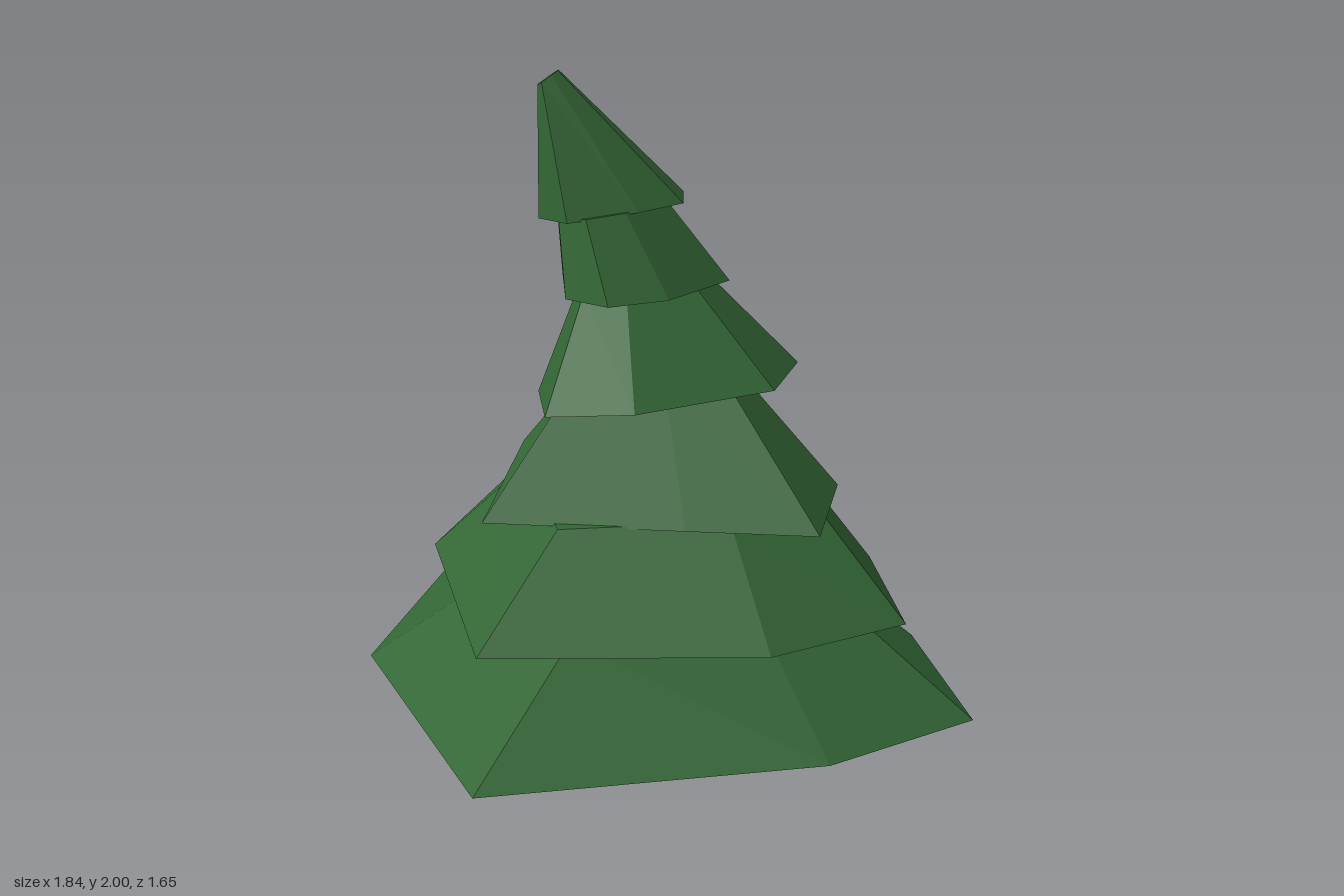
import * as THREE from 'three';

const leafMaterial = new THREE.MeshStandardMaterial({ color: 0x336635, flatShading: true });
const barkMaterial = new THREE.MeshStandardMaterial({ color: 0x68442e, flatShading: true });

// Closed, faceted solid through a stack of rings with equal corner counts
function loft(name, rings, material) {
  const pos = [];
  const tri = (...pts) => pts.forEach((p) => pos.push(p.x, p.y, p.z));
  const middle = (ring) =>
    ring.reduce((sum, p) => sum.add(p), new THREE.Vector3()).divideScalar(ring.length);
  const bottom = rings[0];
  const top = rings[rings.length - 1];
  const n = bottom.length;
  for (let i = 0; i < n; i++) {
    const j = (i + 1) % n;
    for (let r = 0; r + 1 < rings.length; r++) {
      const [lo, hi] = [rings[r], rings[r + 1]];
      tri(lo[i], hi[i], hi[j]);
      tri(lo[i], hi[j], lo[j]);
    }
    tri(middle(bottom), bottom[i], bottom[j]);
    tri(middle(top), top[j], top[i]);
  }
  const geometry = new THREE.BufferGeometry();
  geometry.setAttribute('position', new THREE.Float32BufferAttribute(pos, 3));
  geometry.computeVertexNormals();
  const mesh = new THREE.Mesh(geometry, material);
  mesh.name = name;
  return mesh;
}

// Shrinks an outline about the centre of its bounds and moves it to a new centre
function shrink(corners, k, [cx, cz]) {
  const box = new THREE.Box2().setFromPoints(corners.map(([x, z]) => new THREE.Vector2(x, z)));
  const c = box.getCenter(new THREE.Vector2());
  return corners.map(([x, z]) => [cx + (x - c.x) * k, cz + (z - c.y) * k]);
}

// Lays an outline on a sloping plane: height, slope along x, slope along z
const onPlane = (corners, [h, sx, sz], lift = 0) =>
  corners.map(([x, z]) => new THREE.Vector3(x, h + sx * x + sz * z + lift, z));

// Branch tiers, lowest first: skirt outline [x, z], its plane, and the narrower top
const tiers = [
  { plane: [0.257, -0.016, 0], k: 0.56, top: [0.075, -0.055],
    rim: [[-0.92, -0.04], [-0.55, -0.7], [0.4, -0.83], [0.92, -0.57], [0.89, -0.06], [0.48, 0.82], [-0.43, 0.58]] },
  { plane: [0.543, -0.035, 0], k: 0.6, top: [0.03, -0.065],
    rim: [[-0.76, -0.13], [-0.42, -0.63], [0.36, -0.68], [0.77, -0.44], [0.72, 0.01], [0.28, 0.67], [-0.44, 0.34]] },
  { plane: [0.823, -0.04, -0.06], k: 0.51, top: [0.065, -0.08],
    rim: [[-0.52, -0.37], [-0.14, -0.64], [0.45, -0.46], [0.68, -0.19], [0.42, 0.07], [0.015, 0.47], [-0.4, 0.04]] },
  { plane: [1.105, 0.09, -0.02], k: 0.49, top: [-0.01, -0.07],
    rim: [[-0.34, -0.07], [-0.09, -0.37], [0.22, -0.5], [0.42, -0.24], [0.32, 0.17], [0.14, 0.34], [-0.12, 0.18]] },
  { plane: [1.393, 0.06, 0], k: 0.65, top: [-0.06, -0.02],
    rim: [[-0.25, 0], [-0.22, -0.18], [-0.06, -0.37], [0.17, -0.28], [0.25, 0], [0.2, 0.17], [0.03, 0.19]] },
  { plane: [1.615, 0.1, -0.05], k: 0.14, top: [-0.14, 0.125],
    rim: [[-0.29, 0.05], [-0.21, -0.18], [-0.03, -0.27], [0.12, -0.15], [0.11, 0], [0.04, 0.19], [-0.11, 0.18]] },
];
const tipPlane = [2.117, 0.5, -0.5];

export function createModel() {
  const tree = new THREE.Group();
  tree.name = 'tree';

  // Trunk with a flared foot
  const foot = [[-0.18, -0.03], [-0.1, -0.19], [0.18, -0.21], [0.31, -0.08], [0.16, 0.11], [0, 0.11]];
  const trunkRings = [
    onPlane(foot, [0, 0, 0]),
    onPlane(shrink(foot, 0.75, [0.065, -0.06]), [0.12, 0, 0]),
    onPlane(shrink(foot, 0.7, [0.06, -0.065]), [0.27, 0, 0]),
  ];
  tree.add(loft('trunk', trunkRings, barkMaterial));

  // Each tier rises just into the one above it; the last ends in the tip
  tiers.forEach(({ rim, plane, k, top }, i) => {
    const next = tiers[i + 1];
    const crown = onPlane(shrink(rim, k, top), next ? next.plane : tipPlane, next ? 0.006 : -0.14);
    if (!next) crown.forEach((p) => { p.y = Math.min(2, p.y + 0.14 - 0.007); });
    tree.add(loft(`branchTier${i + 1}`, [onPlane(rim, plane), crown], leafMaterial));
  });
  return tree;
}
